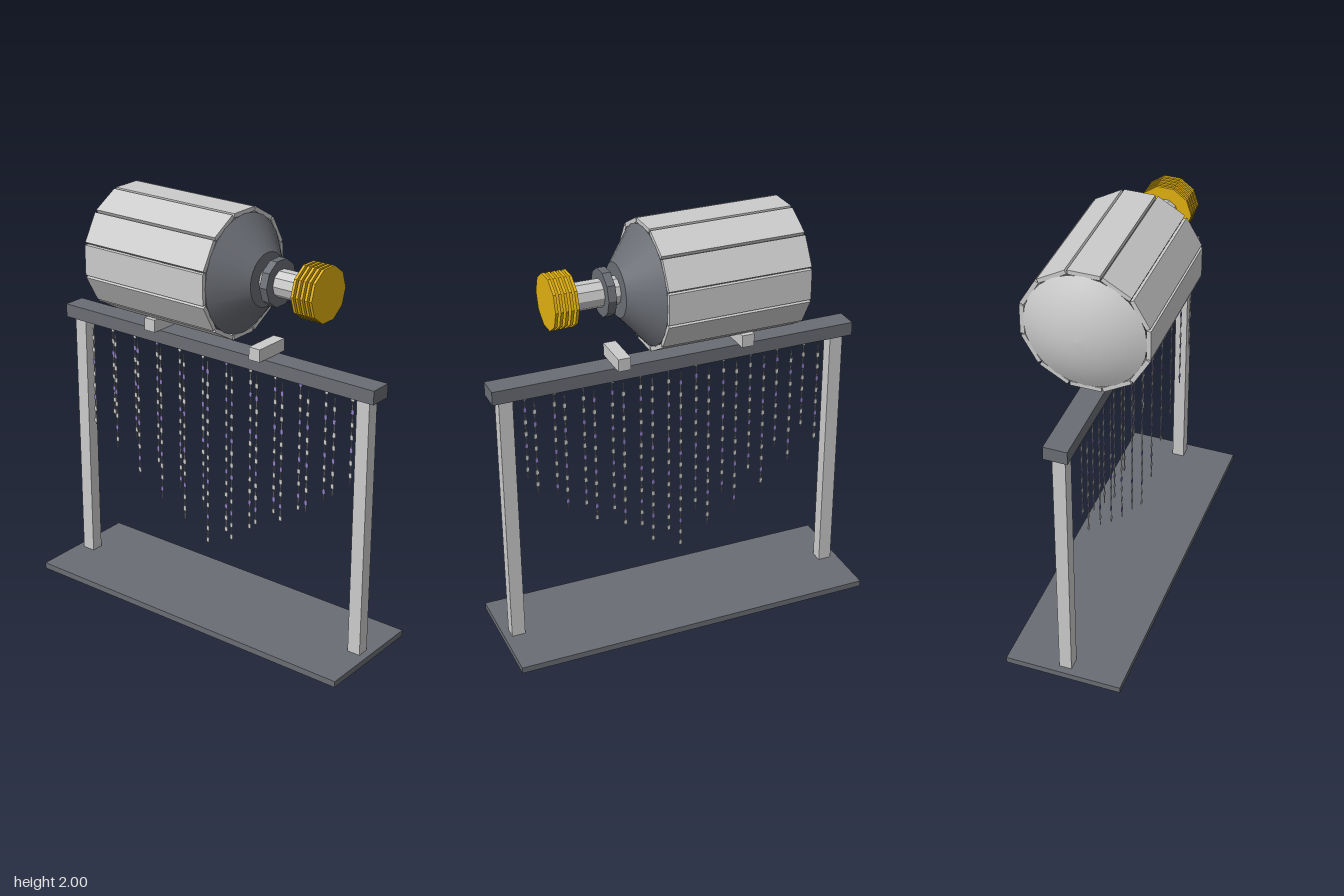
import * as THREE from 'three';

const mat = (color, extra = {}) => new THREE.MeshStandardMaterial({ color, ...extra });
const grey = mat(0xcccccc);
const greyFlat = mat(0xcccccc, { flatShading: true });
const dark = mat(0x6a6d74);
const darkFlat = mat(0x6a6d74, { flatShading: true });
const gold = mat(0xe0b010, { flatShading: true });
const purple = mat(0x8f80c8);

function add(parent, name, geometry, material, x = 0, y = 0, z = 0) {
  const mesh = new THREE.Mesh(geometry, material);
  mesh.name = name;
  mesh.position.set(x, y, z);
  parent.add(mesh);
  return mesh;
}

const box = (w, h, d) => new THREE.BoxGeometry(w, h, d);

// Cylinder along x from x0 to x1, with radius r0 at x0 and r1 at x1
function rod(parent, name, material, x0, x1, r0, r1, sides) {
  const g = new THREE.CylinderGeometry(r1, r0, x1 - x0, sides).rotateZ(-Math.PI / 2);
  return add(parent, name, g, material, (x0 + x1) / 2);
}

function buildStand() {
  const stand = new THREE.Group();
  stand.name = 'stand';
  add(stand, 'basePlate', box(1.77, 0.03, 0.56), dark, 0, 0.015);
  add(stand, 'beam', box(1.77, 0.065, 0.11), dark, 0, 1.3225);
  add(stand, 'lightStrip', box(1.5, 0.012, 0.06), purple, 0, 1.284);
  for (const s of [-1, 1]) add(stand, 'post', box(0.065, 1.26, 0.06), grey, s * 0.817, 0.66);
  for (const x of [-0.325, 0.28]) add(stand, 'saddle', box(0.06, 0.06, 0.185), grey, x, 1.385);
  return stand;
}

function buildDrum() {
  const drum = new THREE.Group();
  drum.name = 'drum';
  drum.position.y = 1.709;

  rod(drum, 'drumCore', dark, -0.53, 0.15, 0.275, 0.275, 24);
  rod(drum, 'frontCone', dark, 0.15, 0.28, 0.275, 0.125, 24);

  // Twelve staves around the core, separated by narrow gaps
  for (let i = 0; i < 12; i++) {
    const stave = new THREE.Group();
    stave.name = 'stave';
    stave.rotation.x = (i * Math.PI) / 6;
    add(stave, 'stavePanel', box(0.68, 0.02, 0.143), grey, -0.19, 0.281);
    drum.add(stave);
  }

  // Shallow domed rear end
  const profile = [];
  for (let i = 0; i <= 6; i++) {
    const r = 0.275 * (1 - i / 6);
    profile.push(new THREE.Vector2(r, 0.08 * (1 - (r / 0.275) ** 2)));
  }
  const dome = new THREE.LatheGeometry(profile, 24).rotateZ(Math.PI / 2);
  add(drum, 'rearDome', dome, grey, -0.53);

  // Neck, collar and ribbed knob
  rod(drum, 'neck', greyFlat, 0.27, 0.6, 0.064, 0.064, 10);
  rod(drum, 'collar', darkFlat, 0.317, 0.355, 0.11, 0.11, 10);
  for (let i = 0; i < 5; i++) {
    const x = 0.502 + i * 0.024;
    rod(drum, 'knobDisc', gold, x - 0.0065, x + 0.0065, 0.128, 0.128, 10);
  }
  return drum;
}

function buildStrands() {
  const strands = new THREE.Group();
  strands.name = 'beadStrands';
  const bottoms = [0.775, 0.69, 0.59, 0.5, 0.43, 0.36, 0.41, 0.545, 0.605, 0.69, 0.81];
  const bead = box(0.016, 0.022, 0.004);
  const top = 1.28;
  for (const z of [-0.07, 0.07]) {
    bottoms.forEach((bottom, i) => {
      const strand = new THREE.Group();
      strand.name = 'strand';
      strand.position.set((i - 5) * 0.14, 0, z);
      add(strand, 'thread', box(0.004, top - bottom, 0.003), grey, 0, (top + bottom) / 2);
      for (let j = 0, y = 1.228; y > bottom; j++, y -= 0.0617) {
        add(strand, 'bead', bead, (i + j) % 3 === 2 ? purple : grey, 0, y);
      }
      strands.add(strand);
    });
  }
  return strands;
}

export function createModel() {
  const model = new THREE.Group();
  model.name = 'drumOnStand';
  model.add(buildStand(), buildDrum(), buildStrands());
  return model;
}
